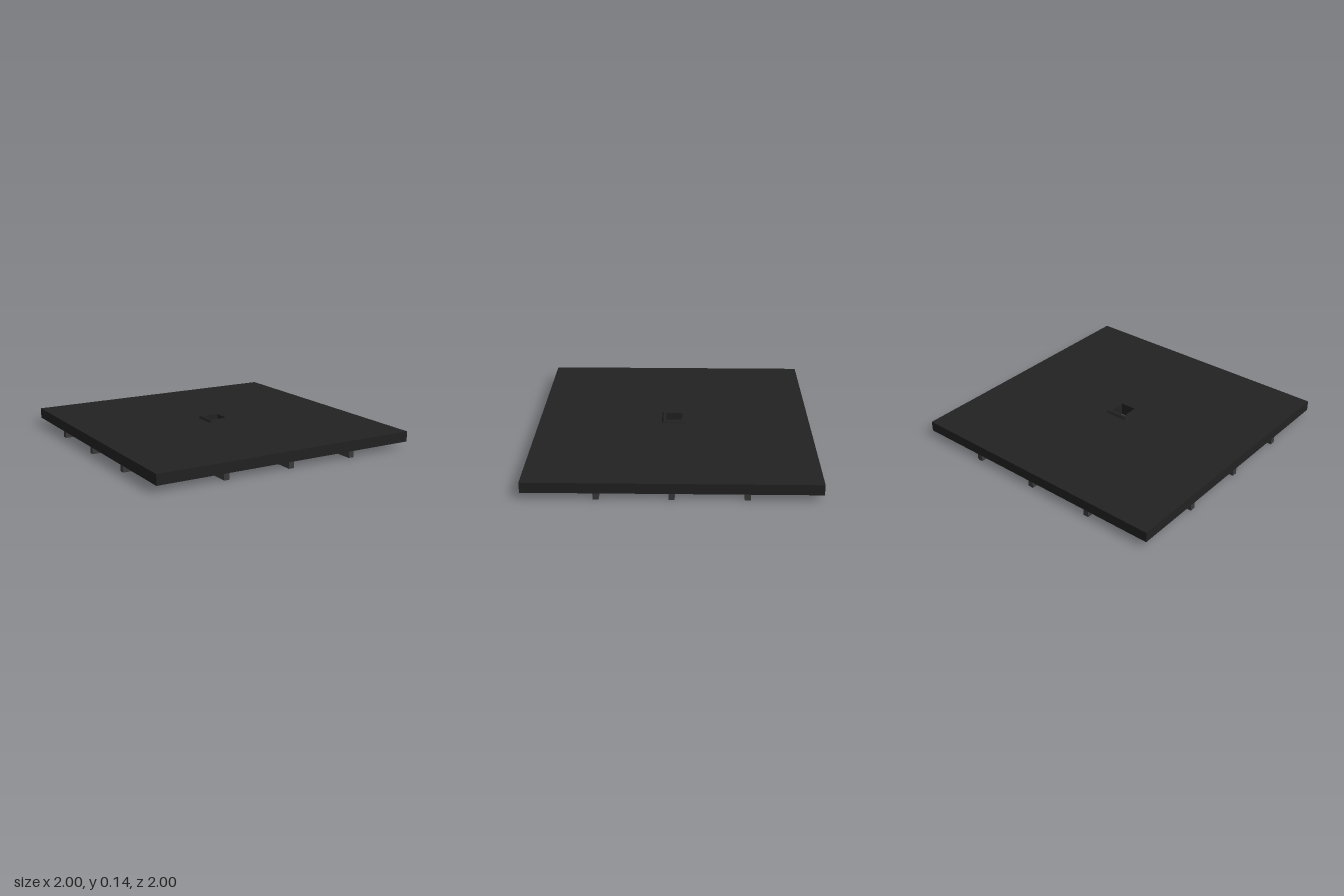
import * as THREE from 'three';

export function createModel() {
  const model = new THREE.Group();
  const darkPlastic = new THREE.MeshStandardMaterial({ color: 0x222222 });
  darkPlastic.name = 'dark plastic';
  const ribGrey = new THREE.MeshStandardMaterial({ color: 0x3a3a3a });
  ribGrey.name = 'rib grey';

  const add = (name, geometry, material) => {
    const mesh = new THREE.Mesh(geometry, material);
    mesh.name = name;
    model.add(mesh);
    return mesh;
  };
  const square = (half, Type) => new Type([
    new THREE.Vector2(-half, -half), new THREE.Vector2(half, -half),
    new THREE.Vector2(half, half), new THREE.Vector2(-half, half),
  ]);

  const ribHeight = 0.045, ribWidth = 0.04, slabTop = 0.12, holeHalf = 0.06;

  // Slab with a square hole through the middle
  const outline = square(1, THREE.Shape);
  outline.holes.push(square(holeHalf, THREE.Path));
  const slab = new THREE.ExtrudeGeometry(outline, { depth: slabTop - ribHeight, bevelEnabled: false });
  slab.rotateX(-Math.PI / 2);
  add('slab', slab, darkPlastic).position.y = ribHeight;

  // Raised square collar with sloping outer sides
  const profile = [[0.09, slabTop], [0.08, 0.138], [holeHalf, 0.138], [holeHalf, slabTop]]
    .map(([half, y]) => new THREE.Vector2(half * Math.SQRT2, y));
  const collar = new THREE.LatheGeometry(profile, 4, Math.PI / 4).toNonIndexed();
  collar.computeVertexNormals();
  add('collar', collar, darkPlastic);

  // Crossed support ribs: full lengths one way, segments between them the other way
  const lines = [-0.5, 0, 0.5];
  const stops = [-1, ...lines, 1];
  for (const p of lines) {
    add('longRib', new THREE.BoxGeometry(ribWidth, ribHeight, 2), ribGrey)
      .position.set(p, ribHeight / 2, 0);
    for (let i = 0; i < 4; i++) {
      const start = stops[i] + (i > 0 ? ribWidth / 2 : 0);
      const end = stops[i + 1] - (i < 3 ? ribWidth / 2 : 0);
      add('crossRib', new THREE.BoxGeometry(end - start, ribHeight, ribWidth), ribGrey)
        .position.set((start + end) / 2, ribHeight / 2, p);
    }
  }
  return model;
}
